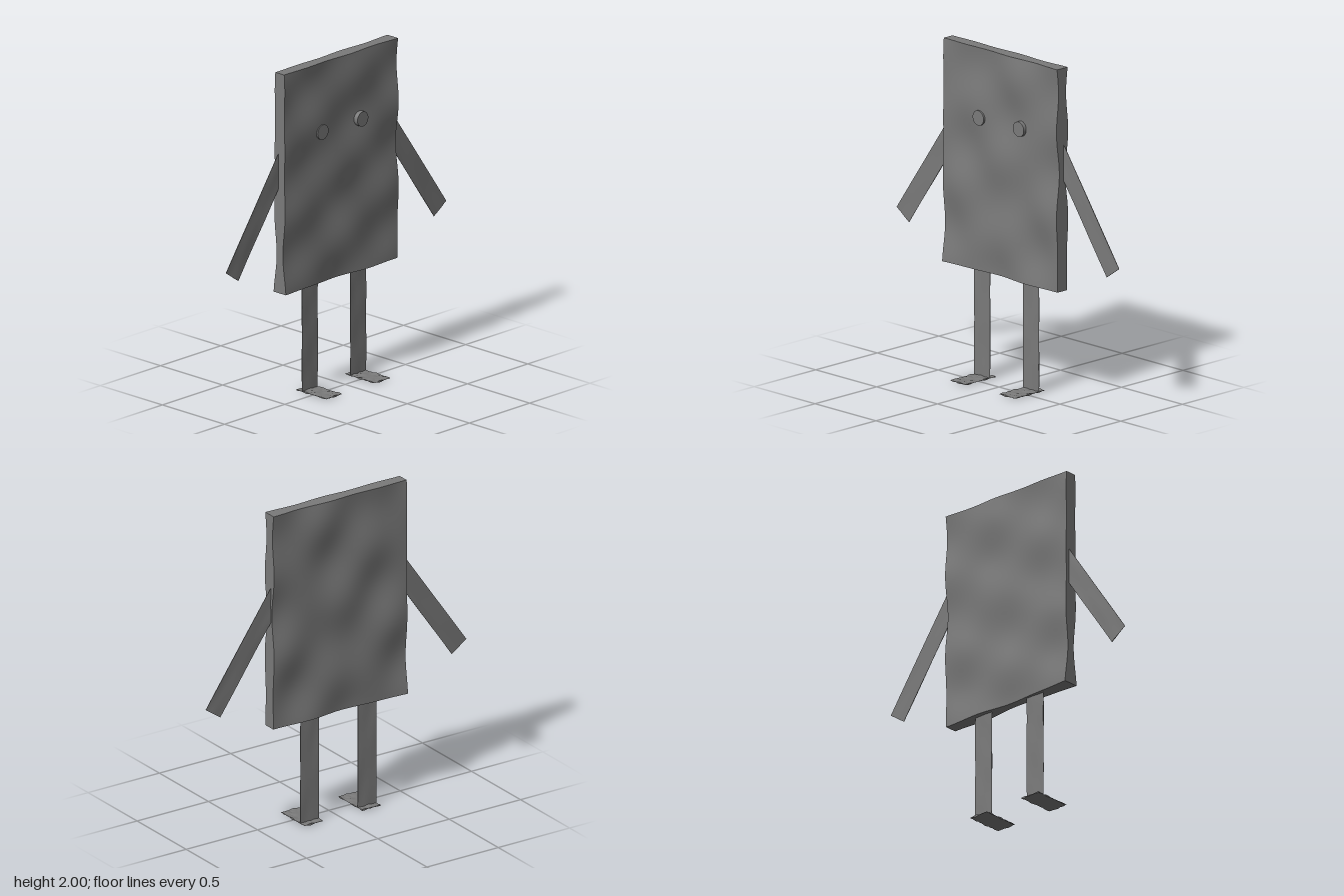
import * as THREE from 'three';

const material = new THREE.MeshStandardMaterial({ color: 0x7a7a7a, side: THREE.DoubleSide });

// Smooth irregular ripple between -1 and 1
function ripple(x, y, phase) {
  return 0.4 * Math.sin(9 * x + 11 * y + phase)
    + 0.35 * Math.sin(14 * y - 8 * x + 2.3 * phase)
    + 0.25 * Math.sin(17 * x + 6 * y + 4 * phase);
}

// Flat board in the xy plane; both faces swell and shrink together by a ripple
// whose density across and along the board is fx and fy
function rippledBoard(name, w, h, d, cols, rows, amp, fx, fy, phase) {
  const geometry = new THREE.BoxGeometry(w, h, d, cols, rows, 1);
  const p = geometry.attributes.position;
  for (let i = 0; i < p.count; i++) {
    const face = Math.sign(p.getZ(i));
    p.setZ(i, face * (d / 2 + amp * ripple(p.getX(i) * fx, p.getY(i) * fy, phase)));
  }
  geometry.computeVertexNormals();
  const mesh = new THREE.Mesh(geometry, material);
  mesh.name = name;
  return mesh;
}

export function createModel() {
  const model = new THREE.Group();

  // Body slab
  const body = rippledBoard('body', 0.937, 1.34, 0.076, 48, 64, 0.015, 1, 1, 0.6);
  body.position.set(-0.0105, 1.33, -0.061);
  model.add(body);

  for (const side of [-1, 1]) {
    const label = side > 0 ? 'left' : 'right';

    // Round eye stud
    const eye = new THREE.Mesh(new THREE.CylinderGeometry(0.045, 0.045, 0.05, 32), material);
    eye.name = label + 'Eye';
    eye.rotation.x = Math.PI / 2;
    eye.position.set(side > 0 ? 0.153 : -0.177, 1.583, -0.03);
    model.add(eye);

    // Paper-thin arm, sloping out and down from inside the body
    const arm = rippledBoard(label + 'Arm', 0.124, 0.86, 0.003, 8, 32, 0.0015, 4, 1, side);
    arm.rotation.z = side * 0.607;
    arm.position.set(side * 0.617, 1.203, -0.073);
    model.add(arm);

    // Paper-thin leg
    const legX = side > 0 ? 0.187 : -0.215;
    const leg = rippledBoard(label + 'Leg', 0.13, 0.68, 0.003, 8, 32, 0.0015, 4, 1.5, side + 2);
    leg.position.set(legX, 0.35, -0.076);
    model.add(leg);

    // Thin crinkled foot lying on the ground
    const foot = rippledBoard(label + 'Foot', 0.13, 0.24, 0.003, 16, 28, 0.005, 6, 6, side + 4);
    foot.rotation.x = -Math.PI / 2;
    foot.position.set(legX, 0.01, 0);
    model.add(foot);
  }

  return model;
}
